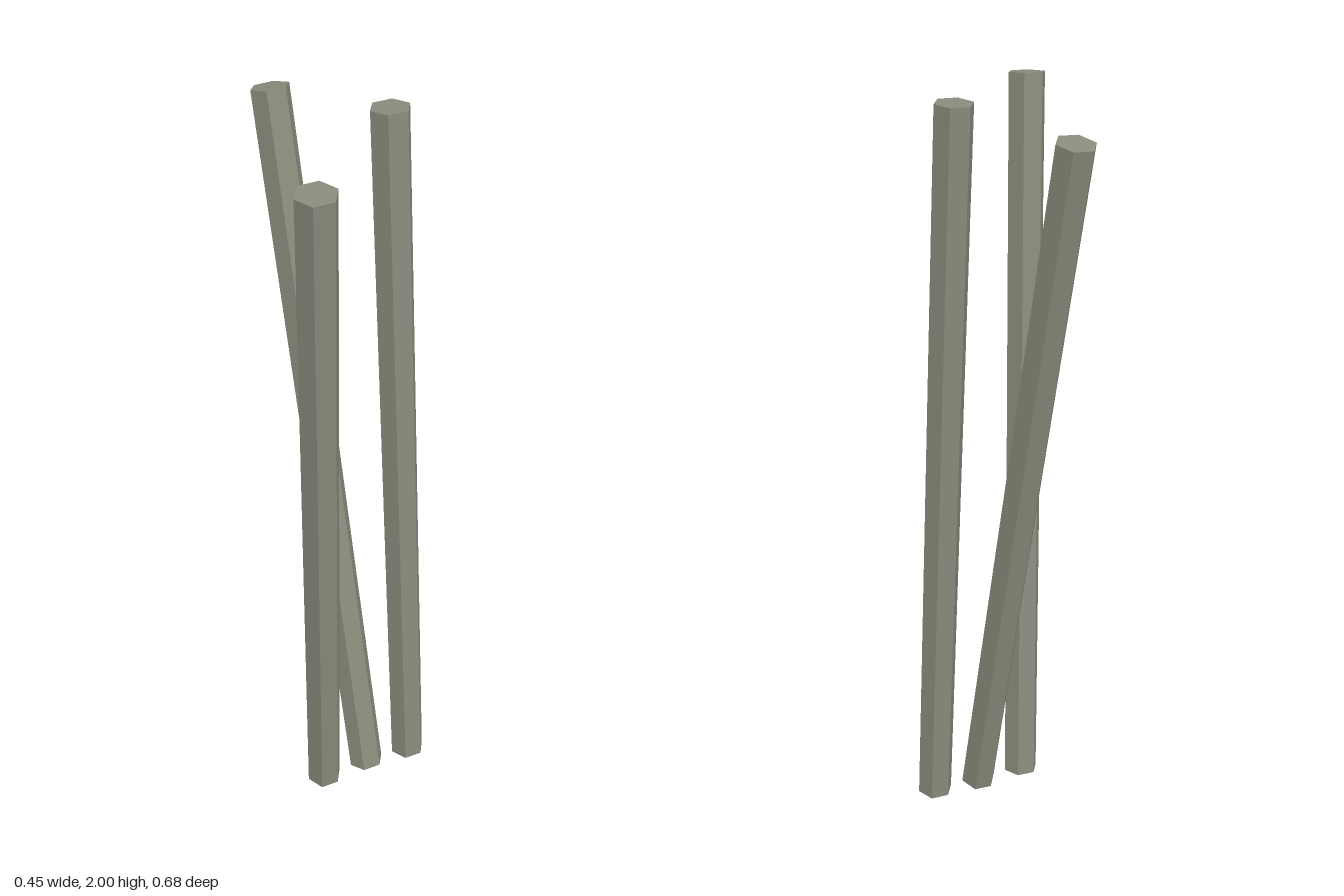
import * as THREE from 'three';

const UP = new THREE.Vector3(0, 1, 0);
const LENGTH = 1.9925;
const RADIUS = 0.049;
const BASE_Y = 0.009;

// Each rod: foot position and horizontal lean of its top, as [x, z]
const RODS = [
  { name: 'rightRod', foot: [-0.09, 0.104], lean: [-0.088, 0.195] },
  { name: 'middleRod', foot: [0.044, 0.104], lean: [-0.089, -0.405] },
  { name: 'leftRod', foot: [0.177, 0.104], lean: [-0.051, -0.108] },
];

export function createModel() {
  const group = new THREE.Group();
  group.name = 'leaningRods';

  const stone = new THREE.MeshStandardMaterial({ color: 0x8a8a7c, flatShading: true });
  stone.name = 'grey stone';

  // Hexagonal bar standing on its foot, corners pointing to the sides
  const bar = new THREE.CylinderGeometry(RADIUS, RADIUS, LENGTH, 6, 1, false, Math.PI / 6);
  bar.translate(0, LENGTH / 2, 0);

  for (const { name, foot, lean } of RODS) {
    const [dx, dz] = lean;
    const rise = Math.sqrt(LENGTH * LENGTH - dx * dx - dz * dz);
    const rod = new THREE.Mesh(bar, stone);
    rod.name = name;
    rod.position.set(foot[0], BASE_Y, foot[1]);
    rod.quaternion.setFromUnitVectors(UP, new THREE.Vector3(dx, rise, dz).normalize());
    group.add(rod);
  }
  return group;
}
